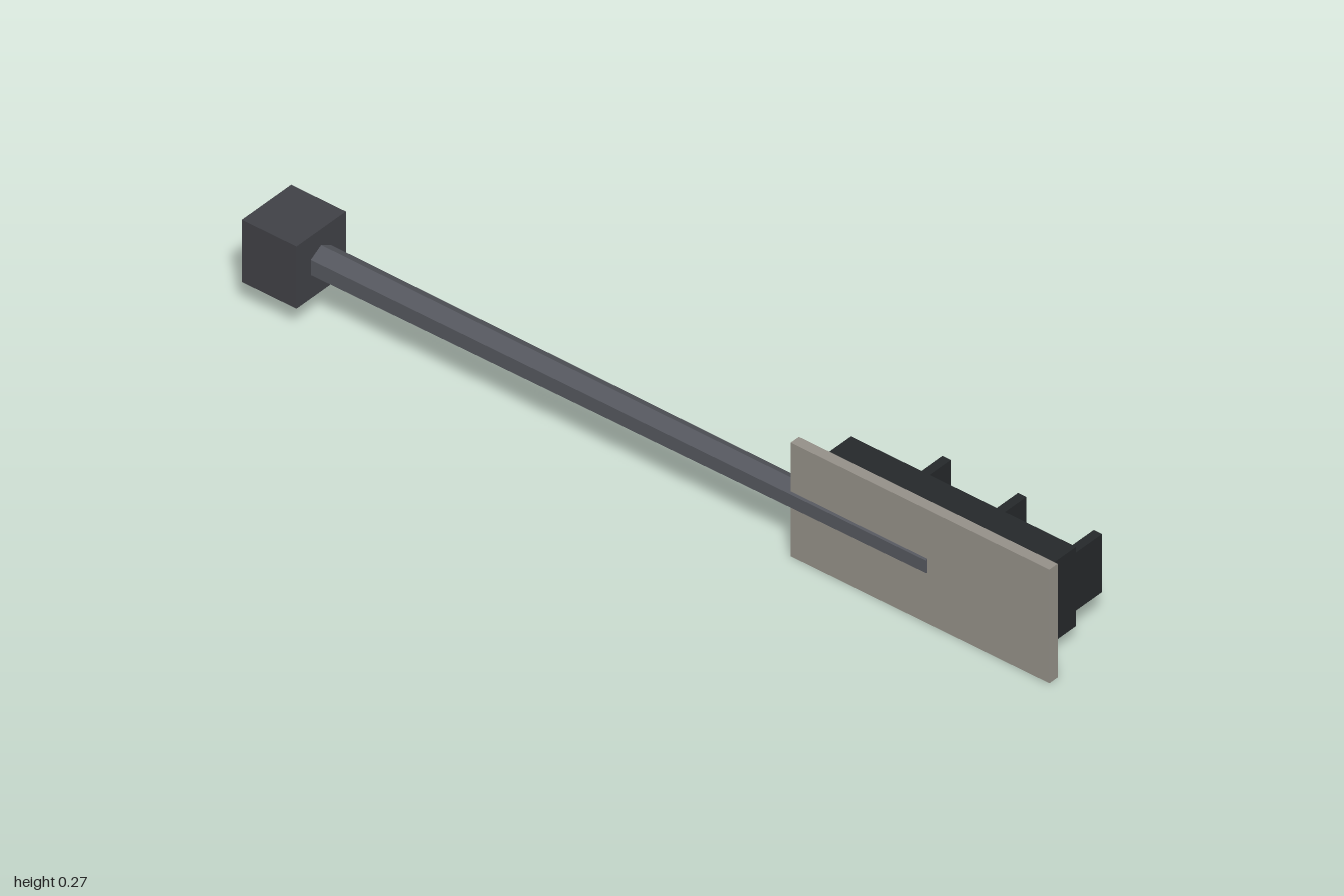
import * as THREE from 'three';

const AXIS_X = -0.065; // pole axis
const AXIS_Y = 0.138;

const paint = (color) => new THREE.MeshStandardMaterial({ color, flatShading: true });

// Box given by its min/max extents on each axis
function box(name, [x0, x1], [y0, y1], [z0, z1], material) {
  const mesh = new THREE.Mesh(new THREE.BoxGeometry(x1 - x0, y1 - y0, z1 - z0), material);
  mesh.position.set((x0 + x1) / 2, (y0 + y1) / 2, (z0 + z1) / 2);
  mesh.name = name;
  return mesh;
}

export function createModel() {
  const model = new THREE.Group();
  model.name = 'trafficLight';

  const dark = paint(0x25282a);

  // Tapered six-sided pole lying along z, ridge upward, its end just showing behind the base
  const poleStart = -1, poleEnd = 0.69;
  const poleGeometry = new THREE.CylinderGeometry(0.03, 0.037, poleEnd - poleStart, 6);
  poleGeometry.rotateX(Math.PI / 2);
  const pole = new THREE.Mesh(poleGeometry, paint(0x55575e));
  pole.name = 'pole';
  pole.position.set(AXIS_X, AXIS_Y, (poleStart + poleEnd) / 2);
  model.add(pole);

  // Base block and backing plate
  model.add(box('base', [-0.14, 0.01], [0.063, 0.213], [-0.998, -0.86], paint(0x404146)));
  model.add(box('backPlate', [-0.087, -0.062], [0, 0.274], [0.345, 1], paint(0x949088)));

  // Signal housing
  model.add(box('housing', [-0.062, 0.047], [0.042, 0.233], [0.386, 0.956], dark));

  // Three octagonal lamps, each with a flat visor
  const lamps = [['red', 0xb82a25], ['amber', 0xc58c1e], ['green', 0x2f9b4a]];
  lamps.forEach(([label, color], i) => {
    const z = 0.672 + (1 - i) * 0.191;
    const geometry = new THREE.CylinderGeometry(0.058, 0.058, 0.04, 8);
    geometry.rotateZ(-Math.PI / 2);
    const lamp = new THREE.Mesh(geometry, paint(color));
    lamp.name = label + 'Lamp';
    lamp.position.set(0.051, AXIS_Y, z);
    model.add(lamp);
    model.add(box(label + 'Visor', [0.04, 0.138], [0.068, 0.208], [z + 0.062, z + 0.083], dark));
  });

  return model;
}
